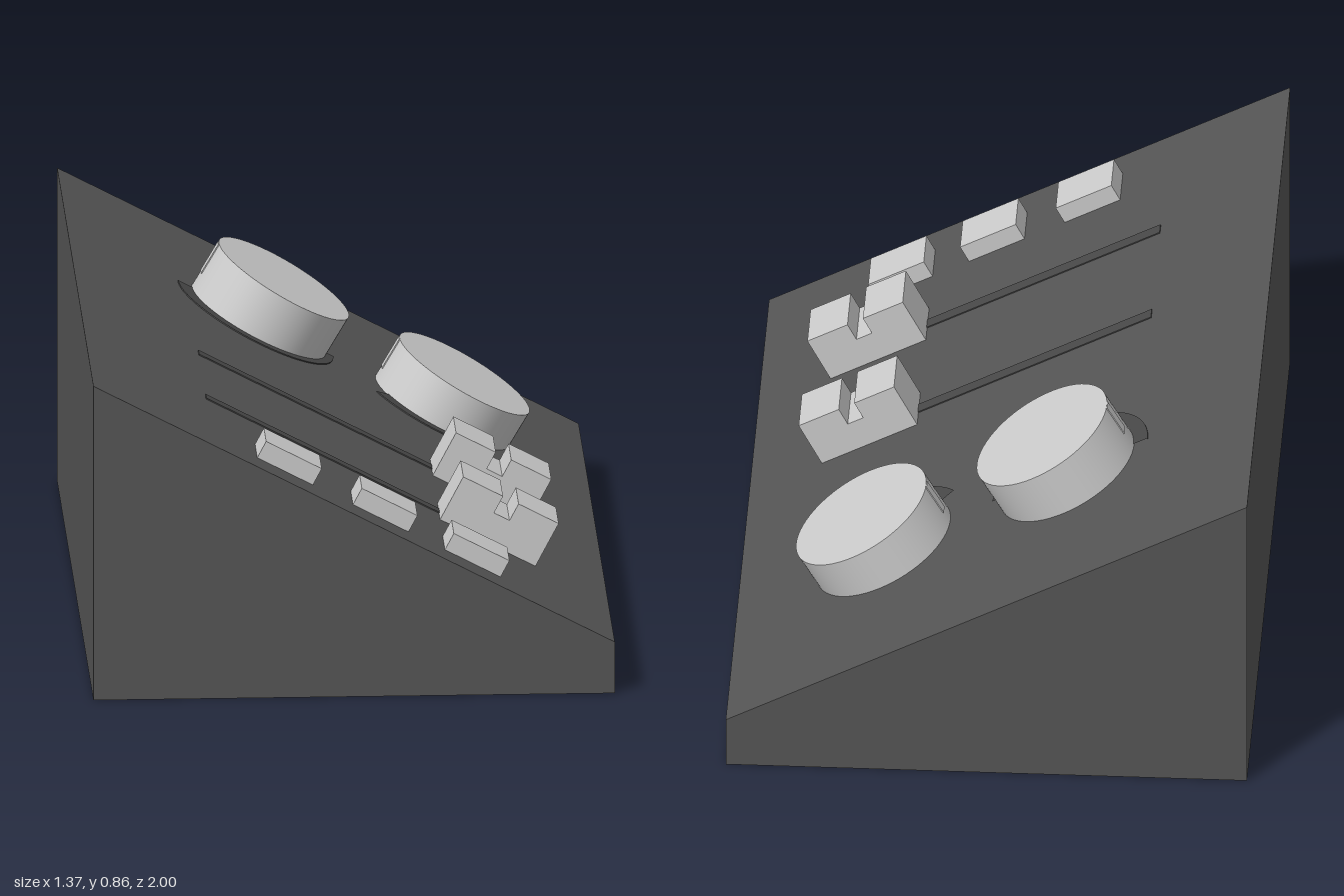
import * as THREE from 'three';

export function createModel() {
  const model = new THREE.Group();
  model.name = 'controlPanel';
  const grey = new THREE.MeshStandardMaterial({ color: 0xcccccc });
  const dark = new THREE.MeshStandardMaterial({ color: 0x555555 });
  const groove = new THREE.MeshStandardMaterial({ color: 0x484848 });

  function add(parent, name, geometry, material, x = 0, y = 0, z = 0) {
    const mesh = new THREE.Mesh(geometry, material);
    mesh.name = name;
    mesh.position.set(x, y, z);
    parent.add(mesh);
    return mesh;
  }

  // Side profile extruded along z, centred on z = 0
  function prism(points, depth) {
    const shape = new THREE.Shape(points.map(([x, y]) => new THREE.Vector2(x, y)));
    return new THREE.ExtrudeGeometry(shape, { depth, bevelEnabled: false }).translate(0, 0, -depth / 2);
  }

  // Wedge-shaped housing
  add(model, 'housing', prism([[-0.685, 0], [0.685, 0], [0.685, 0.14], [-0.685, 0.86]], 2), dark);

  // Everything on the sloping face: x runs downhill, y away from the face
  const face = new THREE.Group();
  face.name = 'slopingFace';
  face.position.y = 0.5;
  face.rotation.z = -Math.atan2(0.72, 1.37);
  model.add(face);

  // Push buttons
  for (const x of [-0.2, 0.084, 0.357]) {
    add(face, 'button', new THREE.BoxGeometry(0.165, 0.06, 0.125), grey, x, 0.02, 0.848);
  }

  // Sliders: notched handle on a long track
  const handle = prism([
    [0.275, -0.01], [0.558, -0.01], [0.558, 0.131], [0.439, 0.131],
    [0.439, 0.08], [0.393, 0.08], [0.393, 0.131], [0.275, 0.131],
  ], 0.15);
  for (const z of [0.155, 0.558]) {
    add(face, 'sliderTrack', new THREE.BoxGeometry(0.8, 0.006, 0.038), groove, -0.017, 0, z);
    add(face, 'sliderHandle', handle, grey, 0, 0, z);
  }

  // Dials: tilted cylinder, pointer mark on the uphill side, dark arc underneath
  const radius = 0.198, height = 0.15;
  const dials = [
    { x: -0.115, y: 0.71, arcX: -0.215, start: -Math.PI / 2, end: Math.PI / 2 },
    { x: 0.36, y: 0.443, arcX: 0.325, start: -0.95, end: 0.75 },
  ];
  for (const d of dials) {
    const dial = new THREE.Group();
    dial.name = 'dial';
    dial.position.set(d.x, d.y, -0.46);
    dial.rotation.z = -0.53;
    model.add(dial);
    add(dial, 'knob', new THREE.CylinderGeometry(radius, radius, height, 64), grey, 0, -height / 2, 0);
    add(dial, 'pointerMark', new THREE.BoxGeometry(0.012, 0.09, 0.03), grey, -radius + 0.004, -0.046, 0);
    add(face, 'dialArc', new THREE.CylinderGeometry(0.23, 0.23, 0.006, 48, 1, false, d.start, d.end - d.start),
      groove, d.arcX, 0, -0.46);
  }

  return model;
}
